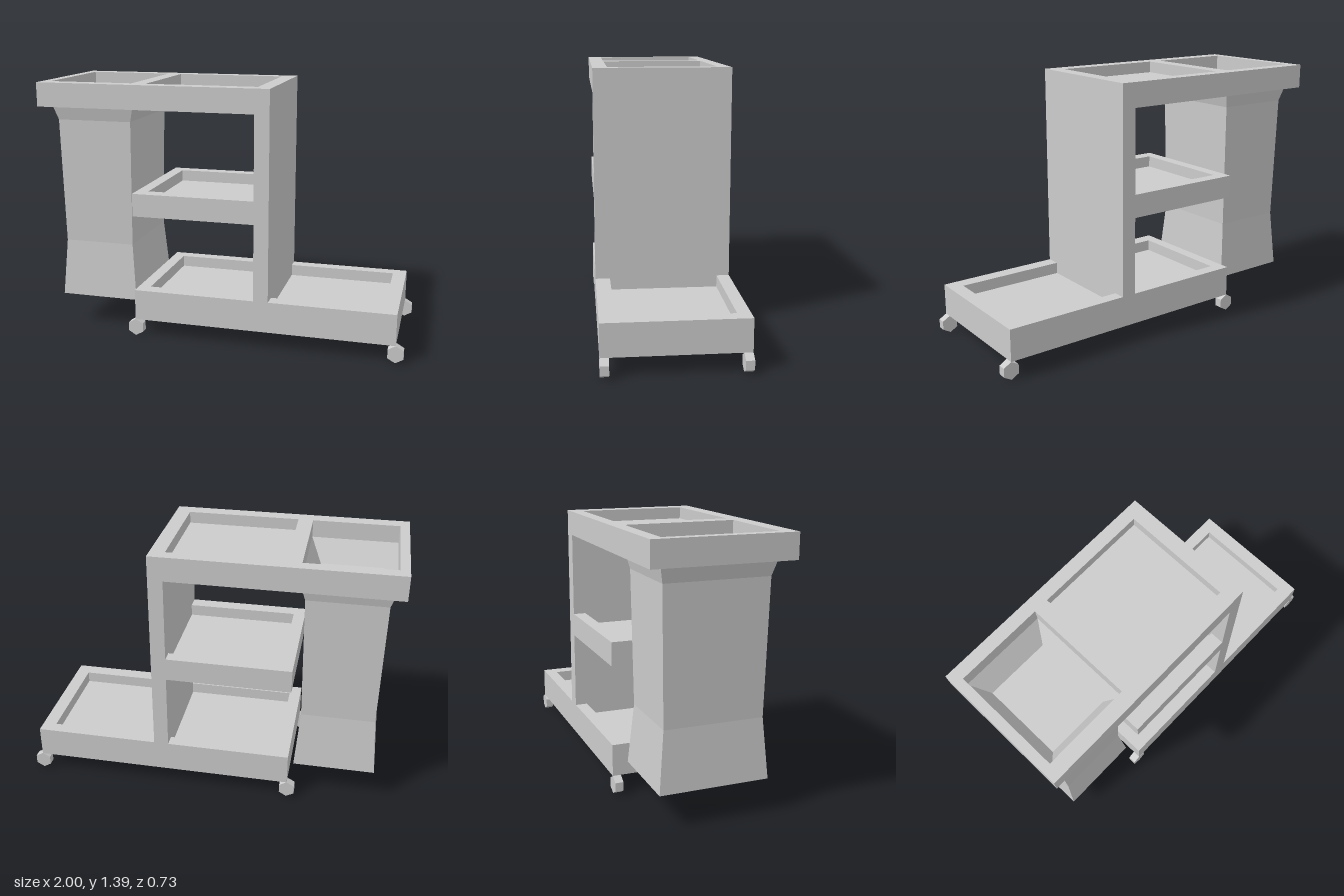
import * as THREE from 'three';

const material = new THREE.MeshStandardMaterial({ color: 0xcccccc, flatShading: true });
const HALF_DEPTH = 0.363;
const RECESS = 0.063;
const HOLE_BACK = -0.295, HOLE_FRONT = 0.285;

function addMesh(parent, name, geometry) {
  const mesh = new THREE.Mesh(geometry, material);
  mesh.name = name;
  parent.add(mesh);
  return mesh;
}

// Horizontal plate between two heights, with rectangular holes given as [x0, x1]
function plate(x0, x1, y0, y1, holes) {
  const rect = (target, a, b, back, front) => {
    target.moveTo(a, -front);
    target.lineTo(b, -front);
    target.lineTo(b, -back);
    target.lineTo(a, -back);
    target.closePath();
    return target;
  };
  const shape = rect(new THREE.Shape(), x0, x1, -HALF_DEPTH, HALF_DEPTH);
  for (const [a, b] of holes) shape.holes.push(rect(new THREE.Path(), a, b, HOLE_BACK, HOLE_FRONT));
  const geometry = new THREE.ExtrudeGeometry(shape, { depth: y1 - y0, bevelEnabled: false });
  geometry.rotateX(-Math.PI / 2);
  geometry.translate(0, y0, 0);
  return geometry;
}

// Shelf with a solid bottom and a raised rim around its recesses
function addTray(parent, name, x0, x1, y0, y1, recesses, openings = []) {
  const tray = new THREE.Group();
  tray.name = name;
  addMesh(tray, name + 'Bottom', plate(x0, x1, y0, y1 - RECESS, openings));
  addMesh(tray, name + 'Rim', plate(x0, x1, y1 - RECESS, y1, [...recesses, ...openings]));
  parent.add(tray);
}

// Skin through rectangular rings [y, x0, x1, back, front], capped at both ends
function loftRectangles(rings) {
  const points = [], index = [];
  for (const [y, x0, x1, back, front] of rings) {
    points.push(x0, y, front, x1, y, front, x1, y, back, x0, y, back);
  }
  for (let r = 0; r < rings.length - 1; r++) {
    for (let i = 0; i < 4; i++) {
      const a = r * 4 + i, b = r * 4 + (i + 1) % 4;
      index.push(a, b, b + 4, a, b + 4, a + 4);
    }
  }
  const e = (rings.length - 1) * 4;
  index.push(0, 2, 1, 0, 3, 2, e, e + 1, e + 2, e, e + 2, e + 3);
  const geometry = new THREE.BufferGeometry();
  geometry.setAttribute('position', new THREE.Float32BufferAttribute(points, 3));
  geometry.setIndex(index);
  const flat = geometry.toNonIndexed();
  flat.computeVertexNormals();
  return flat;
}

export function createModel() {
  const cart = new THREE.Group();
  cart.name = 'serviceCart';

  // Shelves
  const innerRecess = [-0.405, 0.2];
  addTray(cart, 'topDeck', -1, 0.28, 1.26, 1.39, [innerRecess], [[-0.95, -0.485]]);
  addTray(cart, 'middleShelf', -0.47, 0.2, 0.685, 0.81, [innerRecess]);
  addTray(cart, 'base', -0.47, 0.955, 0.095, 0.265, [innerRecess, [0.28, 0.88]]);

  // Upright panel carrying the shelves
  const panel = addMesh(cart, 'uprightPanel', new THREE.BoxGeometry(0.08, 0.995, HALF_DEPTH * 2));
  panel.position.set(0.24, 0.7625, 0);

  // Hanging waste bag, with a shallow funnel inside its mouth
  addMesh(cart, 'wasteBag', loftRectangles([
    [0.175, -0.938, -0.495, -0.29, 0.28],
    [0.49, -0.915, -0.52, -0.263, 0.253],
    [1.18, -0.925, -0.507, -0.276, 0.266],
    [1.26, -0.95, -0.485, HOLE_BACK, HOLE_FRONT],
    [1.295, -0.95, -0.485, HOLE_BACK, HOLE_FRONT],
    [1.175, -0.888, -0.545, -0.217, 0.208],
  ]));

  // Six-sided wheels at the base corners
  for (const x of [-0.47, 0.955]) {
    for (const side of [-1, 1]) {
      const geometry = new THREE.CylinderGeometry(0.0475, 0.0475, 0.044, 6);
      geometry.rotateX(Math.PI / 2);
      const wheel = addMesh(cart, 'wheel', geometry);
      wheel.position.set(x, 0.0475, side * (HALF_DEPTH - 0.022));
    }
  }
  return cart;
}
